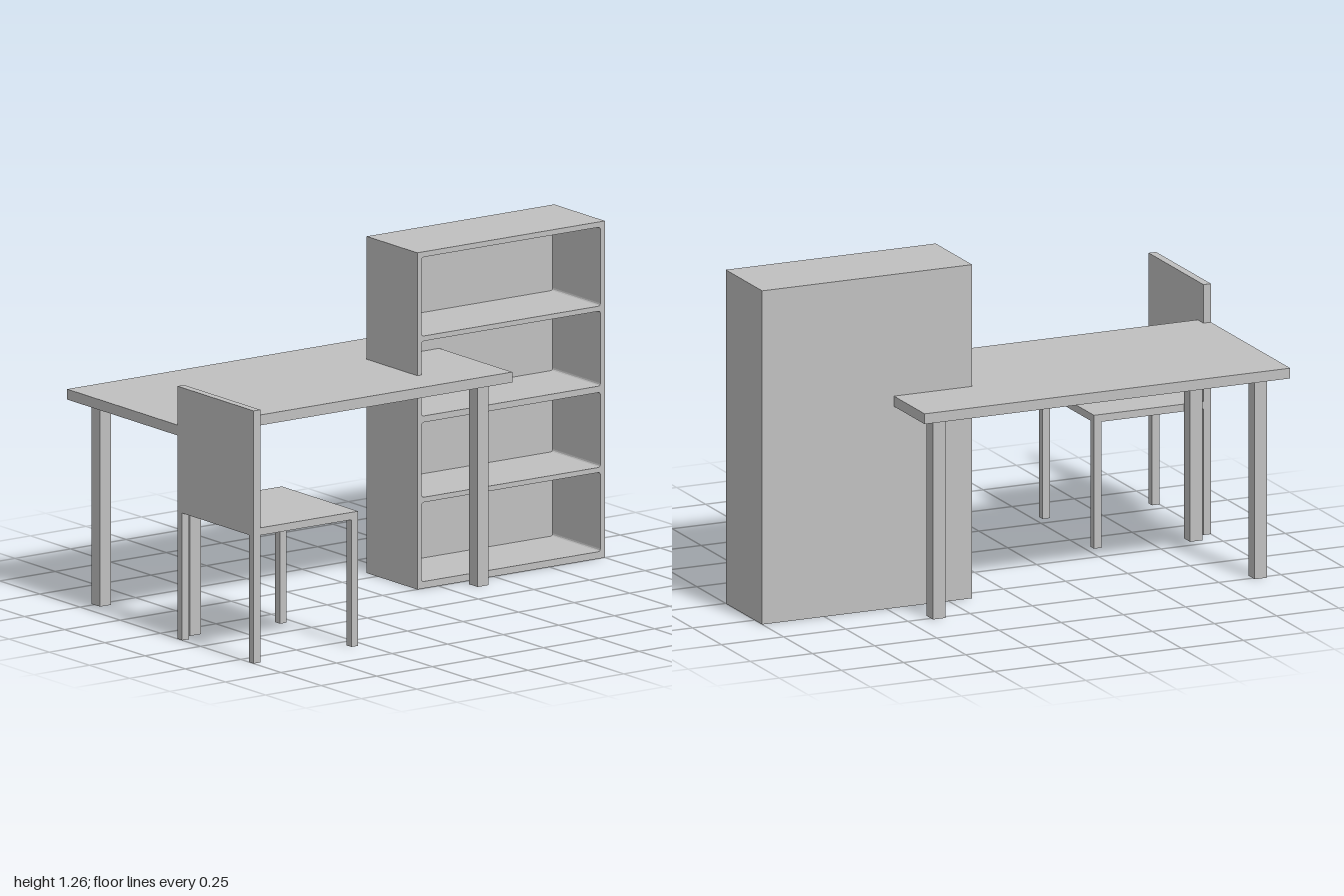
import * as THREE from 'three';

const grey = new THREE.MeshStandardMaterial({ color: 0xc0c0c0 });
grey.name = 'light grey';

// Box given by its lower and upper limits on each axis
function box(name, [x0, x1], [y0, y1], [z0, z1]) {
  const mesh = new THREE.Mesh(new THREE.BoxGeometry(x1 - x0, y1 - y0, z1 - z0), grey);
  mesh.position.set((x0 + x1) / 2, (y0 + y1) / 2, (z0 + z1) / 2);
  mesh.name = name;
  return mesh;
}

function group(name, ...parts) {
  const g = new THREE.Group();
  g.name = name;
  g.add(...parts);
  return g;
}

// One leg for every pairing of x and z limits
function legs(name, xs, zs, height) {
  return xs.flatMap(x => zs.map(z => box(name, x, [0, height], z)));
}

// Rectangular opening with slightly rounded corners
function opening(x0, x1, y0, y1, r) {
  const p = new THREE.Path();
  p.moveTo(x0 + r, y0);
  p.lineTo(x1 - r, y0);
  p.quadraticCurveTo(x1, y0, x1, y0 + r);
  p.lineTo(x1, y1 - r);
  p.quadraticCurveTo(x1, y1, x1 - r, y1);
  p.lineTo(x0 + r, y1);
  p.quadraticCurveTo(x0, y1, x0, y1 - r);
  p.lineTo(x0, y0 + r);
  p.quadraticCurveTo(x0, y0, x0 + r, y0);
  return p;
}

function createTable() {
  return group('table',
    box('tableTop', [-1, 0.47], [0.763, 0.802], [-0.58, 0.157]),
    ...legs('tableLeg', [[-0.937, -0.887], [0.357, 0.407]], [[-0.516, -0.462], [0.043, 0.097]], 0.763));
}

function createChair() {
  return group('chair',
    box('seat', [-1, -0.53], [0.477, 0.505], [0.106, 0.58]),
    box('backrest', [-1, -0.97], [0.505, 0.948], [0.106, 0.58]),
    ...legs('chairLeg', [[-1, -0.97], [-0.56, -0.53]], [[0.106, 0.136], [0.55, 0.58]], 0.477));
}

function createBookcase() {
  const width = 0.844, height = 1.263, depth = 0.315, back = 0.018;
  const outline = new THREE.Shape();
  outline.moveTo(0, 0).lineTo(width, 0).lineTo(width, height).lineTo(0, height).closePath();

  // Four equal compartments, parted by shelves
  for (let i = 0; i < 4; i++) {
    const y = 0.026 + i * 0.3065;
    outline.holes.push(opening(0.02, width - 0.02, y, y + 0.297, 0.01));
  }
  // Keep the compartments apart by a visible shelf thickness
  outline.holes = [0.026, 0.342, 0.647, 0.947].map((y, i) =>
    opening(0.02, width - 0.02, y, [0.323, 0.623, 0.928, 1.243][i], 0.01));

  const geometry = new THREE.ExtrudeGeometry(outline, {
    depth: depth - back, bevelEnabled: false, curveSegments: 3,
  });
  const frame = new THREE.Mesh(geometry, grey);
  frame.name = 'frameAndShelves';
  frame.position.set(0.156, 0, -depth + back);
  return group('bookcase', frame,
    box('backPanel', [0.156, 1], [0, height], [-depth, -depth + back]));
}

export function createModel() {
  return group('studyFurniture', createTable(), createChair(), createBookcase());
}
